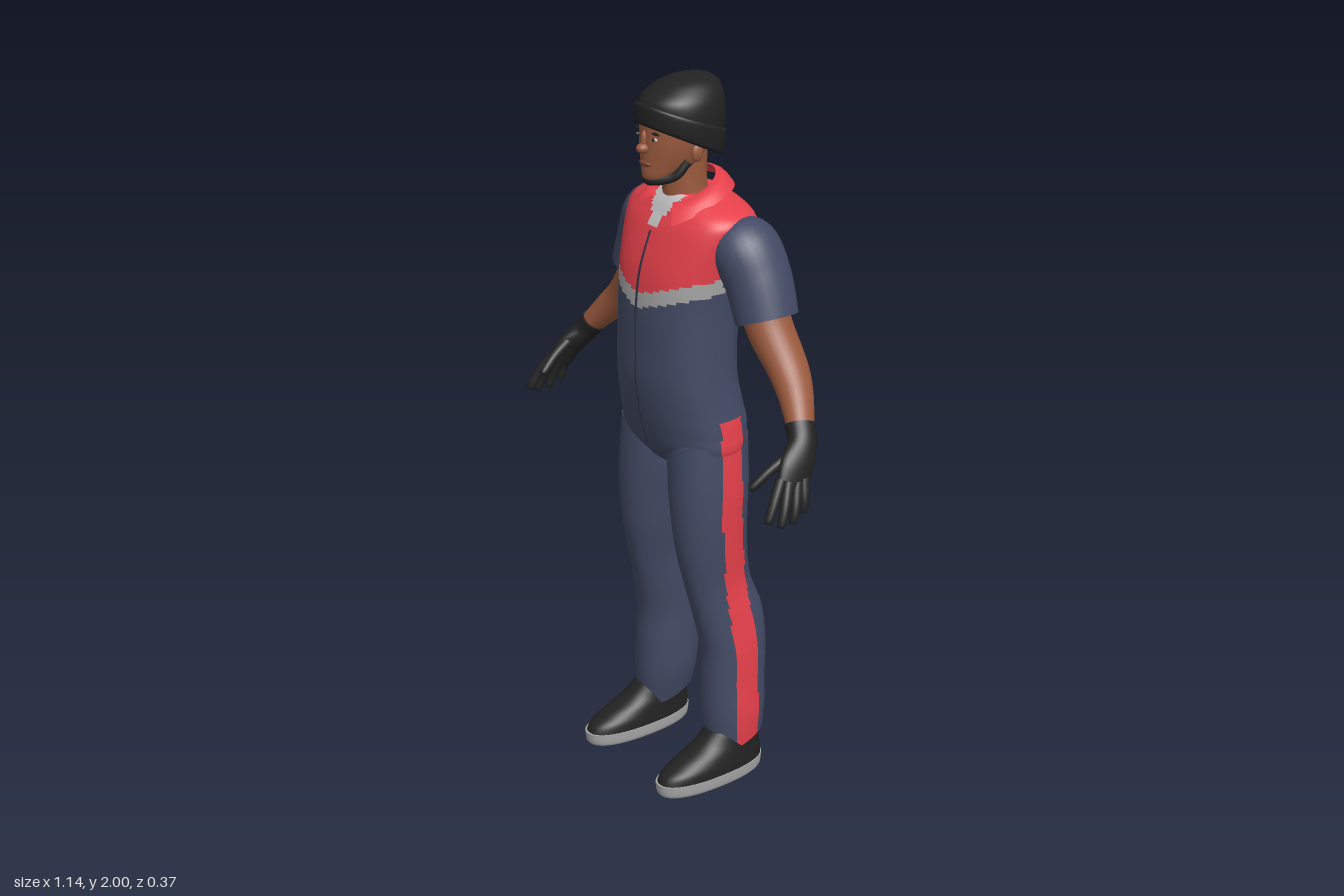
import * as THREE from 'three';

const mat = (name, color, side = THREE.FrontSide) => {
  const m = new THREE.MeshStandardMaterial({ color, side });
  m.name = name;
  return m;
};

// Catmull-Rom blend of the section rows [x, y, z, halfWidth, halfDepth, squareness, tilt]
function sample(rows, t) {
  const f = t * (rows.length - 1), i = Math.min(Math.floor(f), rows.length - 2), w = f - i;
  const at = (j, c) => rows[Math.max(0, Math.min(rows.length - 1, j))][c] ?? (c === 5 ? 2 : 0);
  return [0, 1, 2, 3, 4, 5, 6].map((c) => {
    const [a, b, d, e] = [at(i - 1, c), at(i, c), at(i + 1, c), at(i + 2, c)];
    return b + 0.5 * w * (d - a + w * (2 * a - 5 * b + 4 * d - e + w * (3 * (b - d) + e - a)));
  });
}

// Closed skin through the sections; flat keeps every ring horizontal.
// pick(x, y, z) chooses the material of each face.
function loft(name, rows, materials, { flat = false, steps = 24, around = 28, pick } = {}) {
  const pos = [], buckets = [].concat(materials).map(() => []);
  const Z = new THREE.Vector3(0, 0, 1), T = new THREE.Vector3(), u = new THREE.Vector3(), v = new THREE.Vector3();
  const spow = (c, n) => Math.sign(c) * Math.pow(Math.abs(c), 2 / n);
  const ring = (t) => {
    const [x, y, z, a, b, n, k] = sample(rows, t);
    const p = sample(rows, Math.max(0, t - 0.02)), q = sample(rows, Math.min(1, t + 0.02));
    if (flat) T.set(0, 1, 0); else T.set(q[0] - p[0], q[1] - p[1], q[2] - p[2]).normalize();
    v.copy(Z).addScaledVector(T, -T.z).normalize();
    u.crossVectors(v, T);
    for (let j = 0; j < around; j++) {
      const g = (j / around) * Math.PI * 2;
      const c = a * spow(Math.cos(g), n), s = b * spow(Math.sin(g), n);
      pos.push(x + u.x * c + v.x * s, y + u.y * c + v.y * s + k * s, z + u.z * c + v.z * s);
    }
    return [x, y, z];
  };
  const put = (...ids) => {
    const mid = [0, 1, 2].map((c) => ids.reduce((s, i) => s + pos[i * 3 + c], 0) / ids.length);
    const out = buckets[pick ? pick(...mid) : 0];
    out.push(ids[0], ids[1], ids[2]);
    if (ids.length === 4) out.push(ids[0], ids[2], ids[3]);
  };
  for (let i = 0; i <= steps; i++) ring(i / steps);
  for (let i = 0; i < steps; i++) for (let j = 0; j < around; j++) {
    const a = i * around + j, b = i * around + (j + 1) % around;
    put(a, b, b + around, a + around);
  }
  // end caps on their own vertices
  for (const end of [0, 1]) {
    const base = pos.length / 3, c = ring(end), hub = base + around;
    pos.push(...c);
    for (let j = 0; j < around; j++) {
      const a = base + j, b = base + (j + 1) % around;
      if (end) put(a, b, hub); else put(b, a, hub);
    }
  }
  const geo = new THREE.BufferGeometry();
  geo.setAttribute('position', new THREE.Float32BufferAttribute(pos, 3));
  geo.setIndex(buckets.flat());
  let start = 0;
  buckets.forEach((b, i) => { geo.addGroup(start, b.length, i); start += b.length; });
  geo.computeVertexNormals();
  const mesh = new THREE.Mesh(geo, materials);
  mesh.name = name;
  return mesh;
}

// Section row from front and back depth
const slab = (y, a, zf, zb, n = 2, x = 0) => [x, y, (zf + zb) / 2, a, (zf - zb) / 2, n];

export function createModel() {
  const model = new THREE.Group();
  model.name = 'workerFigure';
  const navy = mat('navyCloth', 0x434a64), red = mat('redCloth', 0xe5404a, THREE.DoubleSide);
  const grey = mat('greyBand', 0xa6a6a6), shirt = mat('paleShirt', 0xc2c2c4);
  const skin = mat('skin', 0x99593d), black = mat('blackKnit', 0x222222);
  const seam = mat('darkSeam', 0x2b3044), lip = mat('lips', 0x7d4335), white = mat('eyeWhite', 0xcfc8c0);
  const add = (...m) => model.add(...m);
  const blob = (name, m, p, r) => {
    const mesh = new THREE.Mesh(new THREE.SphereGeometry(1, 18, 12), m);
    mesh.name = name;
    mesh.position.set(...p);
    mesh.scale.set(...r);
    add(mesh);
  };
  const onStripe = (y, z) => y > 0.1 && y < 1.1 &&
    Math.abs(z - THREE.MathUtils.clamp(-0.083 + (y - 0.4) * 0.095, -0.083, -0.042)) < 0.037;

  // Overall body with yoke, chest band, shirt opening and side stripes
  const torso = [
    slab(0.945, 0.15, 0.05, -0.1), slab(1.0, 0.2, 0.09, -0.15, 2.3), slab(1.06, 0.2, 0.108, -0.165, 2.3),
    slab(1.12, 0.192, 0.12, -0.155, 2.3), slab(1.2, 0.184, 0.13, -0.14, 2.3), slab(1.3, 0.18, 0.13, -0.14, 2.3),
    slab(1.4, 0.18, 0.128, -0.158, 2.3), slab(1.5, 0.188, 0.115, -0.178, 2.4), slab(1.6, 0.205, 0.08, -0.182, 2.5),
    slab(1.645, 0.2, 0.055, -0.17, 2.5), slab(1.672, 0.155, 0.04, -0.155, 2.2), slab(1.695, 0.085, 0.022, -0.125),
  ];
  add(loft('overallBody', torso, [navy, red, grey, shirt], {
    flat: true, steps: 132, around: 112,
    pick: (x, y, z) => {
      const w = Math.abs(x);
      if (z > 0 && y > 1.59 && w < (y - 1.59) * 0.55) return 3;
      if (w > 0.12 && onStripe(y, z)) return 1;
      if (z < -0.02) return y > 1.61 ? 1 : 0;
      const edge = 1.435 + 0.33 * w;
      return y > edge ? 1 : y > edge - 0.04 ? 2 : 0;
    },
  }));

  // Front zip
  const zipPath = torso.slice(1, 9).map((r) => new THREE.Vector3(0, r[1], r[2] + r[4]));
  const zip = new THREE.Mesh(new THREE.TubeGeometry(new THREE.CatmullRomCurve3(zipPath), 40, 0.0035, 6), seam);
  zip.name = 'frontZip';
  add(zip);

  // Folded collar, open at the front
  const collarGeo = new THREE.PlaneGeometry(1, 1, 40, 4), cp = collarGeo.attributes.position;
  for (let i = 0; i < cp.count; i++) {
    const phi = cp.getX(i) * 2 * 2.65, t = 0.5 - cp.getY(i), f = (1 - Math.cos(phi)) / 1.88;
    const r = 0.073 + 0.05 * t, tip = t * 0.028 * f ** 3 * Math.sign(phi);
    const y = THREE.MathUtils.lerp(1.742 - 0.065 * f, 1.702 - 0.068 * f * f, t) + 0.012 * Math.sin(t * Math.PI);
    cp.setXYZ(i, r * Math.sin(phi) + tip, y, -0.035 - (r + 0.005) * Math.cos(phi));
  }
  collarGeo.computeVertexNormals();
  const collar = new THREE.Mesh(collarGeo, red);
  collar.name = 'collar';
  add(collar);

  // Neck and head
  add(loft('neck', [slab(1.64, 0.062, 0.03, -0.1), slab(1.72, 0.056, 0.03, -0.09), slab(1.8, 0.056, 0.03, -0.09)], skin, { flat: true }));
  add(loft('head', [
    slab(1.733, 0.022, 0.082, 0.02), slab(1.745, 0.042, 0.099, -0.02), slab(1.78, 0.063, 0.1, -0.07),
    slab(1.82, 0.076, 0.1, -0.09), slab(1.86, 0.081, 0.1, -0.1), slab(1.91, 0.081, 0.1, -0.11),
  ], skin, { flat: true, steps: 30, around: 36 }));
  blob('nose', skin, [0, 1.825, 0.102], [0.016, 0.014, 0.02]);
  blob('noseBridge', skin, [0, 1.845, 0.096], [0.009, 0.028, 0.013]);
  blob('mouth', lip, [0, 1.784, 0.097], [0.023, 0.008, 0.009]);

  // Chin strap
  const strapPath = [[-0.066, 1.79, 0.01], [-0.052, 1.752, 0.04], [0, 1.737, 0.086], [0.052, 1.752, 0.04], [0.066, 1.79, 0.01]];
  const strap = new THREE.Mesh(new THREE.TubeGeometry(
    new THREE.CatmullRomCurve3(strapPath.map((p) => new THREE.Vector3(...p))), 32, 0.013, 10), black);
  strap.name = 'chinStrap';
  add(strap);

  // Knitted cap and its turned-up cuff
  add(loft('cap', [
    [0, 1.85, -0.012, 0.1, 0.112, 2, 0.45], [0, 1.895, -0.018, 0.103, 0.117, 2, 0.3], [0, 1.94, -0.024, 0.096, 0.112, 2.1, 0.1],
    [0, 1.972, -0.034, 0.075, 0.092, 2.1], [0, 1.99, -0.045, 0.05, 0.062], [0, 2.0, -0.06, 0.012, 0.016],
  ], black, { flat: true, steps: 30, around: 40 }));
  add(loft('capCuff', [
    [0, 1.83, -0.01, 0.098, 0.112, 2, 0.48], [0, 1.84, -0.01, 0.106, 0.119, 2, 0.47],
    [0, 1.885, -0.015, 0.11, 0.123, 2, 0.4], [0, 1.895, -0.016, 0.102, 0.115, 2, 0.4],
  ], black, { flat: true, around: 40 }));

  for (const s of [1, -1]) {
    const side = (rows) => rows.map(([x, ...r]) => [s * x, ...r]);
    // Face details
    blob('eye', white, [s * 0.032, 1.852, 0.09], [0.013, 0.005, 0.004]);
    blob('iris', black, [s * 0.032, 1.852, 0.093], [0.005, 0.005, 0.003]);
    blob('eyebrow', black, [s * 0.034, 1.868, 0.09], [0.019, 0.004, 0.005]);
    blob('ear', skin, [s * 0.077, 1.81, -0.012], [0.01, 0.024, 0.017]);

    // Arm: sleeve, bare forearm, glove
    add(loft('sleeve', side([
      [0.14, 1.59, -0.075, 0.055, 0.08], [0.19, 1.573, -0.08, 0.083, 0.095],
      [0.235, 1.5, -0.09, 0.083, 0.092], [0.275, 1.4, -0.09, 0.08, 0.086],
    ]), navy));
    add(loft('forearm', side([
      [0.25, 1.45, -0.09, 0.058, 0.065], [0.286, 1.375, -0.093, 0.057, 0.064], [0.357, 1.287, -0.096, 0.048, 0.057],
      [0.415, 1.228, -0.078, 0.041, 0.047], [0.478, 1.158, -0.045, 0.029, 0.034],
    ]), skin));
    add(loft('glovePalm', side([
      [0.46, 1.178, -0.055, 0.036, 0.042], [0.488, 1.14, -0.04, 0.031, 0.04],
      [0.513, 1.095, -0.003, 0.024, 0.05], [0.53, 1.045, 0.028, 0.016, 0.045],
    ]), black));
    const fingers = {
      indexFinger: [[0.523, 1.075, 0.055], [0.538, 1.025, 0.088], [0.545, 0.983, 0.112]],
      middleFinger: [[0.528, 1.065, 0.035], [0.55, 1.01, 0.062], [0.558, 0.968, 0.08]],
      ringFinger: [[0.532, 1.06, 0.01], [0.553, 1.005, 0.03], [0.558, 0.968, 0.042]],
      littleFinger: [[0.532, 1.065, -0.012], [0.548, 1.02, -0.002], [0.551, 0.985, 0.004]],
      thumb: [[0.497, 1.125, 0.0], [0.487, 1.088, 0.065], [0.477, 1.052, 0.11]],
    };
    for (const [name, [a, b, c]] of Object.entries(fingers)) {
      const tip = c.map((q, i) => q + (c[i] - b[i]) * 0.16);
      add(loft(name, side([[...a, 0.014, 0.016], [...b, 0.013, 0.014], [...c, 0.011, 0.011], [...tip, 0.003, 0.003]]),
        black, { steps: 14, around: 12 }));
    }

    // Trouser leg with side stripe
    add(loft('trouserLeg', side([
      [0.165, 0.115, -0.085, 0.064, 0.085, 2.2, -0.35], [0.158, 0.2, -0.083, 0.077, 0.093, 2.2, -0.1],
      [0.153, 0.3, -0.085, 0.077, 0.095, 2.2], [0.15, 0.4, -0.087, 0.075, 0.097, 2.2], [0.14, 0.5, -0.075, 0.071, 0.105, 2.2],
      [0.131, 0.6, -0.046, 0.067, 0.1, 2.2], [0.125, 0.7, -0.03, 0.076, 0.105, 2.2], [0.12, 0.8, -0.025, 0.085, 0.11, 2.2],
      [0.113, 0.9, -0.027, 0.093, 0.114, 2.2], [0.104, 1.03, -0.03, 0.095, 0.112, 2.2],
    ]), [navy, red], { flat: true, steps: 90, around: 80, pick: (x, y, z) => (s * x > 0.14 && onStripe(y, z) ? 1 : 0) }));

    // Shoe
    add(loft('shoeSole', side([
      slab(0, 0.053, 0.16, -0.145, 2.3, 0.173), slab(0.01, 0.064, 0.182, -0.162, 2.3, 0.173), slab(0.043, 0.067, 0.187, -0.166, 2.3, 0.173),
    ]), grey, { flat: true, steps: 10, around: 40 }));
    add(loft('shoeUpper', side([
      slab(0.04, 0.065, 0.183, -0.163, 2.3, 0.173), slab(0.065, 0.063, 0.165, -0.162, 2.3, 0.173),
      slab(0.09, 0.06, 0.115, -0.158, 2.2, 0.172), slab(0.12, 0.056, 0.05, -0.153, 2.2, 0.17), slab(0.155, 0.052, 0.01, -0.145, 2.2, 0.168),
    ]), black, { flat: true, around: 40 }));
  }
  return model;
}
